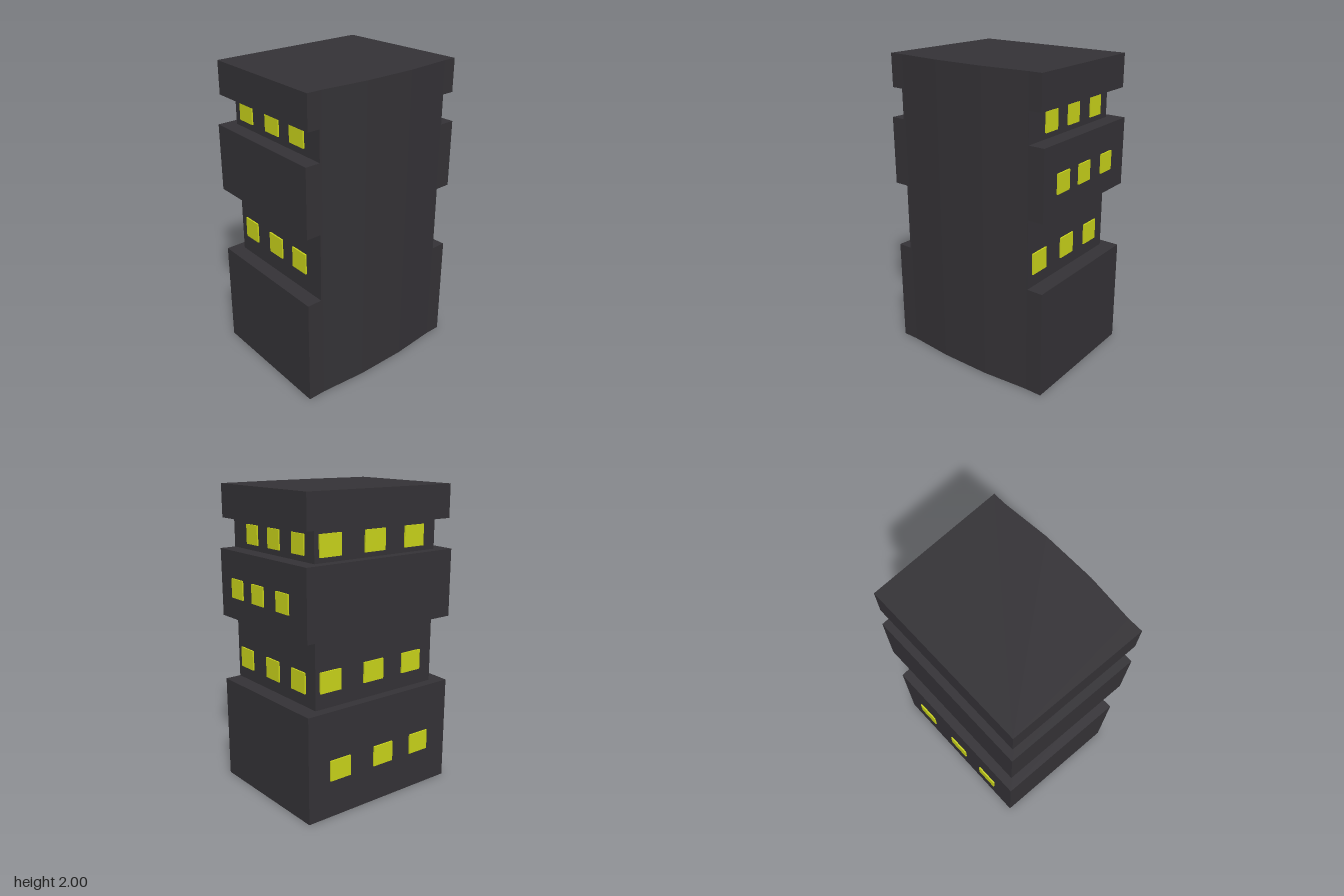
import * as THREE from 'three';

const wallMaterial = new THREE.MeshStandardMaterial({ color: 0x343236, flatShading: true });
const windowMaterial = new THREE.MeshStandardMaterial({ color: 0xc8d21a });

const EAST = 0.455; // x where the bowed side wall begins

// Floor outlines: west wall x, then front and back z at the west and east ends
const WIDE = { west: -0.465, frontW: 0.57, frontE: 0.605, backW: -0.565, backE: -0.597 };
const RECESS = { west: -0.4, frontW: 0.475, frontE: 0.505, backW: -0.465, backE: -0.49 };
const ROOF = { west: -0.45, frontW: 0.555, frontE: 0.587, backW: -0.55, backE: -0.575 };

// One storey: the outline, closed by the bowed east wall, extruded upwards
function storey(name, o, y0, y1) {
  const outline = [
    [o.west, o.frontW], [EAST, o.frontE], [EAST, 0.49], [0.481, 0.18],
    [0.481, -0.17], [EAST, -0.485], [EAST, o.backE], [o.west, o.backW],
  ];
  const shape = new THREE.Shape(outline.map(([x, z]) => new THREE.Vector2(x, -z)));
  const geometry = new THREE.ExtrudeGeometry(shape, { depth: y1 - y0, bevelEnabled: false });
  geometry.rotateX(-Math.PI / 2);
  const mesh = new THREE.Mesh(geometry, wallMaterial);
  mesh.name = name;
  mesh.position.y = y0;
  return mesh;
}

// A row of thin panes lying on one wall of an outline; centres run along x or z
function windowRow(name, o, wall, y, centres, width, height) {
  const row = new THREE.Group();
  row.name = name;
  const geometry = new THREE.BoxGeometry(width, height, 0.02);
  for (const c of centres) {
    const pane = new THREE.Mesh(geometry, windowMaterial);
    pane.name = 'window';
    if (wall === 'west') {
      pane.position.set(o.west, y, c);
      pane.rotation.y = -Math.PI / 2;
    } else {
      const [zW, zE] = wall === 'front' ? [o.frontW, o.frontE] : [o.backW, o.backE];
      const slope = (zE - zW) / (EAST - o.west);
      pane.position.set(c, y, zW + slope * (c - o.west));
      pane.rotation.y = -Math.atan(slope);
    }
    row.add(pane);
  }
  return row;
}

export function createModel() {
  const model = new THREE.Group();
  model.name = 'towerBlock';

  // Alternating wide and recessed storeys
  model.add(
    storey('baseBlock', WIDE, 0, 0.7),
    storey('lowerRecess', RECESS, 0.7, 1.145),
    storey('middleBlock', WIDE, 1.145, 1.59),
    storey('upperRecess', RECESS, 1.59, 1.785),
    storey('roofBlock', ROOF, 1.785, 2),
  );

  // Front windows
  const frontX = [-0.273, 0.002, 0.248];
  model.add(
    windowRow('frontLowerWindows', RECESS, 'front', 0.888, frontX, 0.134, 0.135),
    windowRow('frontUpperWindows', RECESS, 'front', 1.7, frontX, 0.134, 0.13),
  );

  // Back windows
  model.add(
    windowRow('backLowerWindows', RECESS, 'back', 0.85, [0.34, 0.04, -0.235], 0.14, 0.135),
    windowRow('backMiddleWindows', WIDE, 'back', 1.35, [0.258, 0.028, -0.232], 0.125, 0.125),
    windowRow('backUpperWindows', RECESS, 'back', 1.69, [0.235, 0, -0.25], 0.12, 0.125),
  );

  // West side windows
  const westZ = [-0.355, -0.02, 0.295];
  model.add(
    windowRow('sideBaseWindows', WIDE, 'west', 0.315, [-0.33, 0.015, 0.322], 0.155, 0.135),
    windowRow('sideLowerWindows', RECESS, 'west', 0.87, westZ, 0.157, 0.135),
    windowRow('sideUpperWindows', RECESS, 'west', 1.69, westZ, 0.157, 0.135),
  );
  return model;
}
